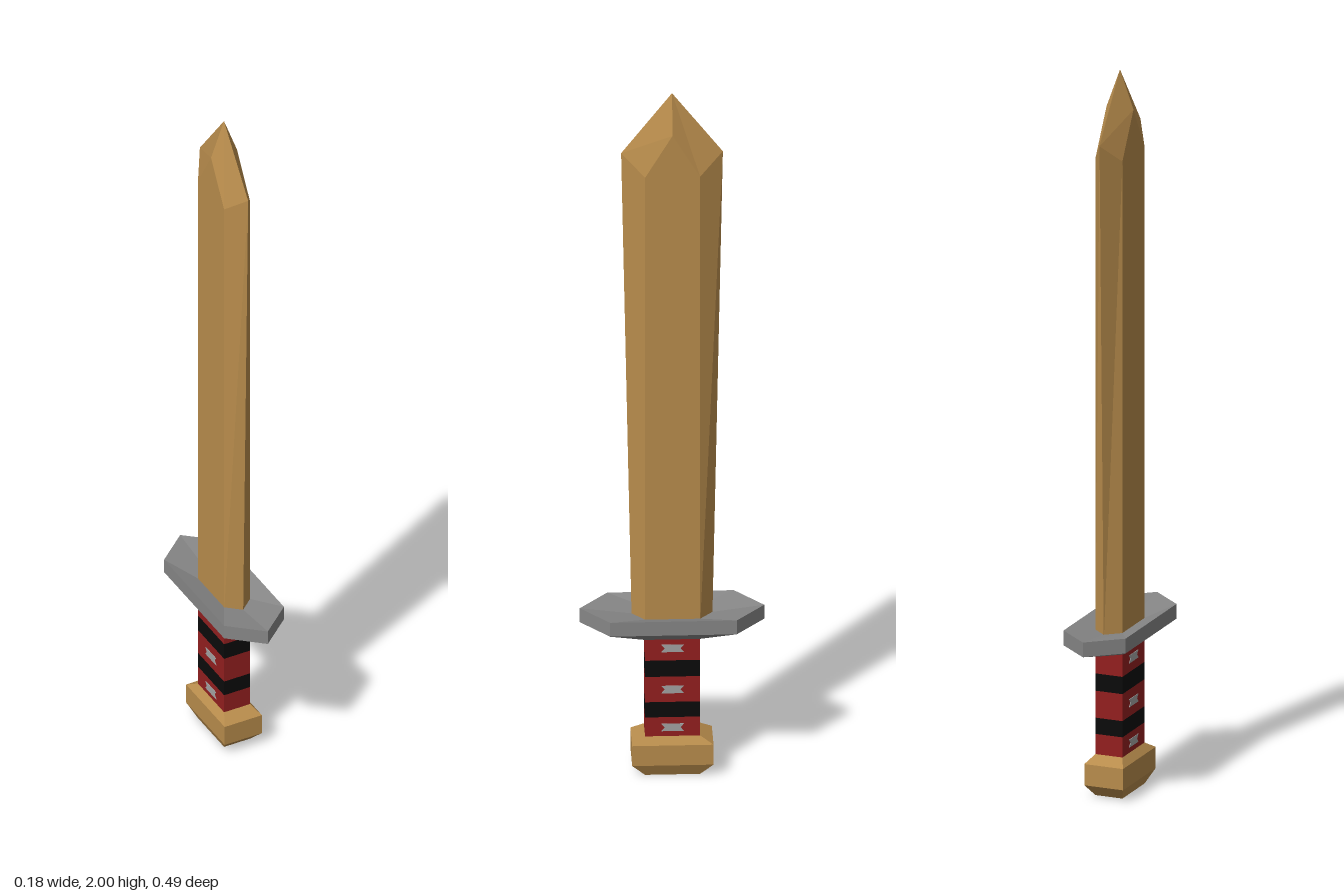
import * as THREE from 'three';

const mat = (name, color) => {
  const m = new THREE.MeshStandardMaterial({ color, flatShading: true });
  m.name = name;
  return m;
};

// Cross-sections run counter-clockwise seen from above, starting at +z
const hex = (x, zFlat, zTip, yFlat, yTip = yFlat) => [
  [0, yTip, zTip], [x, yFlat, zFlat], [x, yFlat, -zFlat],
  [0, yTip, -zTip], [-x, yFlat, -zFlat], [-x, yFlat, zFlat]];
const rect = (x, z, y) => [[x, y, z], [x, y, -z], [-x, y, -z], [-x, y, z]];

// Joins rings into a faceted skin, with optional flat caps
function loft(rings, capBottom, capTop) {
  const pos = [];
  const tri = (a, b, c) => {
    const [A, B, C] = [a, b, c].map(p => new THREE.Vector3(...p));
    if (B.sub(A).cross(C.sub(A)).length() > 1e-8) pos.push(...a, ...b, ...c);
  };
  for (let r = 0; r < rings.length - 1; r++) {
    const lo = rings[r], hi = rings[r + 1], n = lo.length;
    for (let i = 0; i < n; i++) {
      const j = (i + 1) % n;
      tri(lo[i], lo[j], hi[j]);
      tri(lo[i], hi[j], hi[i]);
    }
  }
  const first = rings[0], last = rings[rings.length - 1];
  for (let i = 1; i < first.length - 1; i++) {
    if (capBottom) tri(first[0], first[i + 1], first[i]);
    if (capTop) tri(last[0], last[i], last[i + 1]);
  }
  const g = new THREE.BufferGeometry();
  g.setAttribute('position', new THREE.Float32BufferAttribute(pos, 3));
  g.computeVertexNormals();
  return g;
}

export function createModel() {
  const group = new THREE.Group();
  const gold = mat('gold', 0xb88c4c);
  const steel = mat('steel', 0x868686);
  const red = mat('red leather', 0x931f1f);
  const black = mat('black wrap', 0x0b0b0b);
  const silver = mat('silver', 0xa3a3a3);

  const add = (name, geo, material) => {
    const mesh = new THREE.Mesh(geo, material);
    mesh.name = name;
    group.add(mesh);
    return mesh;
  };

  // Blade: six-sided, widening towards a pointed tip
  const tip = [0, 2, 0], right = [0.039, 1.893, 0], left = [-0.039, 1.893, 0];
  add('blade', loft([
    hex(0.039, 0.073, 0.107, 0.44),
    hex(0.039, 0.073, 0.135, 1.77, 1.825),
    [tip, right, right, tip, left, left],
  ], true, false), gold);

  // Guard: tapered underside, upright rim, slightly dished top
  add('guard', loft([
    hex(0.039, 0.073, 0.105, 0.4),
    hex(0.09, 0.168, 0.245, 0.437),
    hex(0.09, 0.168, 0.245, 0.478),
    hex(0.039, 0.073, 0.107, 0.46),
  ], true, true), steel);

  // Grip: stacked red and black bands
  const levels = [0.105, 0.17, 0.215, 0.29, 0.338, 0.405];
  for (let i = 0; i < levels.length - 1; i++) {
    const h = levels[i + 1] - levels[i];
    const band = add(i % 2 ? 'gripWrap' : 'gripBand',
      new THREE.BoxGeometry(0.078, h, 0.146), i % 2 ? black : red);
    band.position.y = levels[i] + h / 2;
  }

  // Small notched plates on both broad sides of each red band
  const plate = new THREE.Shape([
    [-0.03, -0.011], [0.03, -0.011], [0.021, 0], [0.03, 0.011], [-0.03, 0.011], [-0.021, 0],
  ].map(([x, y]) => new THREE.Vector2(x, y)));
  const plateGeo = new THREE.ExtrudeGeometry(plate, { depth: 0.002, bevelEnabled: false });
  for (const y of [0.14, 0.252, 0.374]) {
    for (const side of [1, -1]) {
      const p = add('gripPlate', plateGeo, silver);
      p.position.set(side * 0.0385, y, 0);
      p.rotation.y = side * Math.PI / 2;
    }
  }

  // Pommel: block bevelled at top and bottom
  add('pommel', loft([
    rect(0.039, 0.073, 0),
    rect(0.056, 0.108, 0.035),
    rect(0.056, 0.108, 0.094),
    rect(0.039, 0.073, 0.114),
  ], true, true), gold);

  return group;
}
